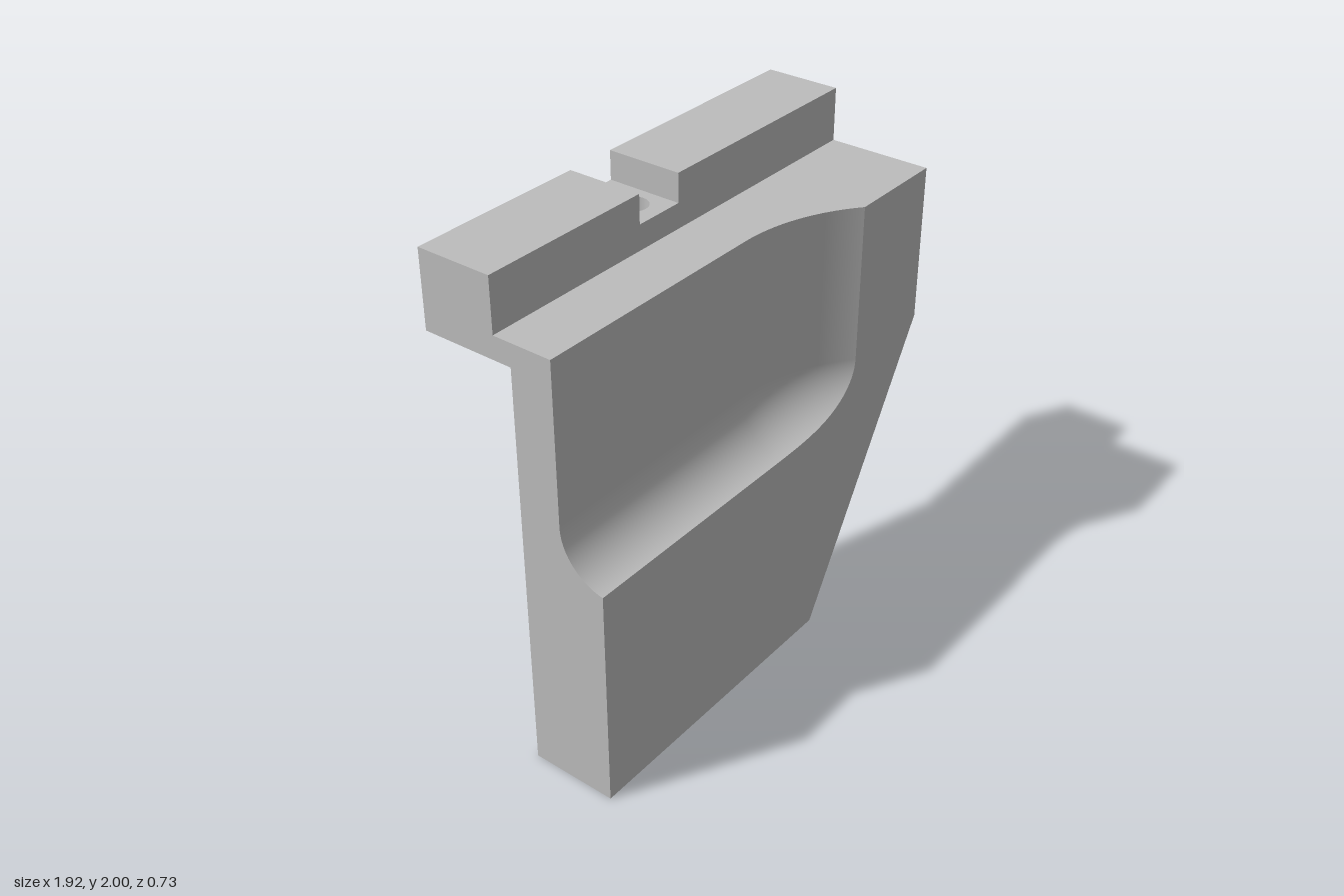
import * as THREE from 'three';

const X = 0.96, TOP = 1.785;               // half width, shoulder height
const BACK = 0.013, FLOOR = 0.187, FRONT = 0.367; // z of plate back, recess floor, plate front
const AX = 0.05, AZ = 0.93;                // vertical axis of the rounded recess end
const R = AZ - FLOOR, R0 = AZ - FRONT;     // recess radius at the floor and at the front
const C = 0.212, YB = 0.929, YF = YB + C;  // fillet radius, bottom and top of the fillet
const N = 32;

export function createModel() {
  const model = new THREE.Group();
  const grey = new THREE.MeshStandardMaterial({ color: 0xbdbdbd });
  grey.name = 'plain grey';

  const add = (name, geometry) => {
    const mesh = new THREE.Mesh(geometry, grey);
    mesh.name = name;
    model.add(mesh);
    return mesh;
  };
  const shapeOf = (pts) => new THREE.Shape(pts.map(([x, y]) => new THREE.Vector2(x, y)));
  const face = (pts) => new THREE.ShapeGeometry(shapeOf(pts));
  const box = (name, x0, x1, y0, y1, z0, z1) =>
    add(name, new THREE.BoxGeometry(x1 - x0, y1 - y0, z1 - z0))
      .position.set((x0 + x1) / 2, (y0 + y1) / 2, (z0 + z1) / 2);

  // Rear layer of the plate; its front is the flat recess floor
  const outline = [[-X, 0], [0.3, 0], [X, 1.145], [X, TOP], [-X, TOP]];
  const slab = new THREE.ExtrudeGeometry(shapeOf(outline), { depth: FLOOR - BACK, bevelEnabled: false });
  add('plateBack', slab.translate(0, 0, BACK));

  // Recess rows: radius r, height y and the tilt of the surface
  const phi0 = Math.asin((R0 - R + C) / C);
  const fillet = [];
  for (let j = 0; j <= N; j++) {
    const phi = phi0 + (Math.PI / 2 - phi0) * (j / N) ** 2;
    fillet.push({ r: R - C + C * Math.sin(phi), y: YF - C * Math.cos(phi), phi });
  }
  const wall = [fillet[N], { r: R, y: TOP, phi: Math.PI / 2 }];
  const maxAngle = (r) => Math.acos(Math.min(1, R0 / r));
  const endX = (r) => AX + r * Math.sin(maxAngle(r));

  // Smooth patch swept along the recess, optionally with the straight run to the left
  function patch(rows, straight) {
    const pos = [], nor = [], idx = [];
    const cols = N + 1 + (straight ? 1 : 0);
    rows.forEach(({ r, y, phi }, j) => {
      for (let i = 0; i < cols; i++) {
        const k = straight ? i - 1 : i;
        const a = maxAngle(r) * Math.max(k, 0) / N;
        pos.push(k < 0 ? -X : AX + r * Math.sin(a), y, AZ - r * Math.cos(a));
        nor.push(-Math.sin(a) * Math.sin(phi), Math.cos(phi), Math.cos(a) * Math.sin(phi));
        if (j && i) {
          const d = j * cols + i, b = d - cols;
          idx.push(b - 1, b, d, b - 1, d, d - 1);
        }
      }
    });
    const g = new THREE.BufferGeometry();
    g.setAttribute('position', new THREE.Float32BufferAttribute(pos, 3));
    g.setAttribute('normal', new THREE.Float32BufferAttribute(nor, 3));
    g.setIndex(idx);
    return g;
  }
  add('recessFillet', patch(fillet, true));
  add('recessEndWall', patch(wall, false));

  // Front face around the recess
  const rim = fillet.map(({ r, y }) => [endX(r), y]);
  add('plateFront', face([
    ...outline.slice(0, 4), [endX(R), TOP], ...rim.reverse(), [-X, fillet[0].y],
  ])).position.z = FRONT;

  // Shoulder top beside the curved recess end
  const arc = [];
  for (let i = 0; i <= N; i++) {
    const a = maxAngle(R) * i / N;
    arc.push([AX + R * Math.sin(a), R * Math.cos(a) - AZ]);
  }
  add('shoulderTop', face([...arc, [X, -FRONT], [X, -FLOOR]]).rotateX(-Math.PI / 2)).position.y = TOP;

  // Side face on the open end of the recess
  add('openEndSide', face([
    [FLOOR, 0], [FRONT, 0], ...fillet.map(({ r, y }) => [AZ - r, y]),
  ]).rotateY(-Math.PI / 2)).position.x = -X;

  // Bottom, slanted and upright edges of the front layer
  for (let i = 0; i < 3; i++) {
    const [p, q] = [outline[i], outline[i + 1]];
    const c = [[...p, FRONT], [...p, FLOOR], [...q, FLOOR], [...q, FRONT]]
      .map((v) => new THREE.Vector3(...v));
    const g = new THREE.BufferGeometry().setFromPoints([c[0], c[1], c[2], c[0], c[2], c[3]]);
    g.computeVertexNormals();
    add('plateEdge', g);
  }

  // Rail behind the plate: drilled base, bridge and two blocks beside the notch
  const RB = -0.367, RF = -0.057, Y0 = 1.692, NOTCH = 1.885;
  const base = shapeOf([[-X, -RF], [X, -RF], [X, -RB], [-X, -RB]]);
  const hole = new THREE.Path();
  hole.absarc(-0.122, 0.18, 0.062, 0, Math.PI * 2, true);
  base.holes.push(hole);
  const rail = new THREE.ExtrudeGeometry(base, { depth: NOTCH - Y0, bevelEnabled: false, curveSegments: 24 });
  add('drilledRail', rail.rotateX(-Math.PI / 2)).position.y = Y0;
  box('railBridge', -X, X, Y0, TOP, RF, BACK);
  box('railBlockRight', -X, -0.228, NOTCH, 2, RB, RF);
  box('railBlockLeft', -0.016, X, NOTCH, 2, RB, RF);

  return model;
}
